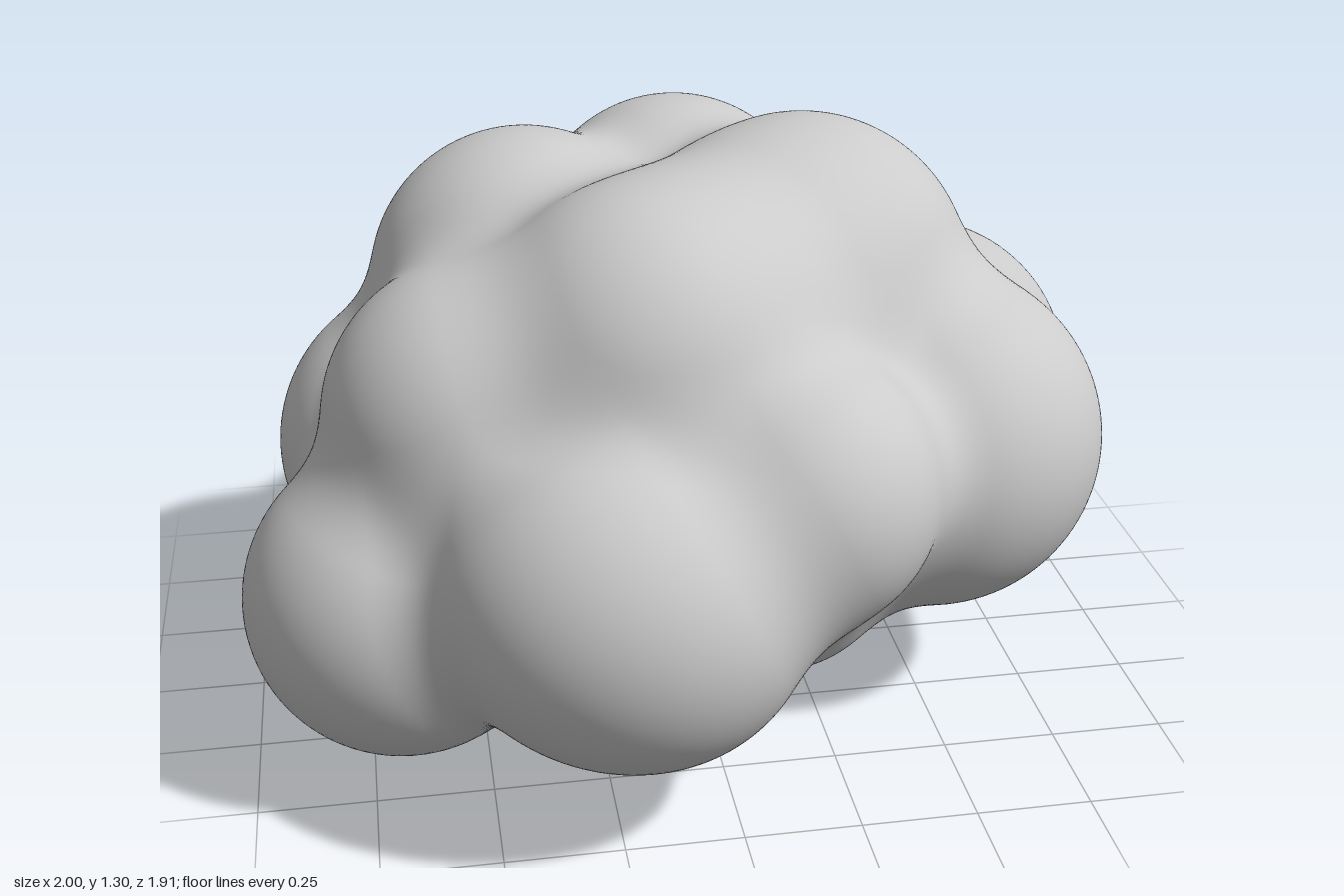
import * as THREE from 'three';

// Puffs of the cloud: x, y, z, radius
const puffs = [
  [0.04, 0.57, 0.0, 0.42],    // core
  [0.10, 0.43, -0.25, 0.32],  // lower core
  [0.14, 0.44, 0.29, 0.29],   // lower front fill
  [-0.66, 0.40, 0.33, 0.34],  // low front, right-hand end
  [-0.28, 0.54, 0.58, 0.34],  // front
  [-0.17, 0.50, 0.61, 0.335],
  [0.14, 0.68, 0.51, 0.305],  // upper front
  [0.52, 0.61, 0.17, 0.385],  // side, forward
  [0.55, 0.57, -0.08, 0.345], // side, middle
  [0.62, 0.53, -0.33, 0.38],  // side, rear
  [0.28, 0.48, -0.56, 0.39],  // back
  [-0.22, 0.53, -0.50, 0.355], // back
  [-0.55, 0.52, -0.17, 0.37], // opposite side
  [-0.47, 0.77, 0.25, 0.34],  // shoulder
  [0.26, 0.92, -0.01, 0.38],  // crown
  [0.07, 0.90, 0.13, 0.355],
  [-0.12, 0.90, 0.28, 0.37],
  [-0.34, 0.90, -0.17, 0.35],
  [0.04, 0.88, -0.43, 0.35],
  [-0.07, 0.26, 0.19, 0.26],  // underside
  [-0.42, 0.31, -0.10, 0.27],
  [-0.07, 0.30, -0.46, 0.24],
].map(([x, y, z, r]) => ({ c: new THREE.Vector3(x, y, z), r }));

// Distance to the puffs, softly blended where they meet
const BLEND = 0.115;
function cloudDistance(p) {
  let d = Infinity;
  for (const { c, r } of puffs) {
    const s = p.distanceTo(c) - r;
    if (d === Infinity) { d = s; continue; }
    const h = Math.max(BLEND - Math.abs(d - s), 0) / BLEND;
    d = Math.min(d, s) - h * h * BLEND * 0.25;
  }
  return d;
}

// Surface normal from the slope of the distance
function cloudNormal(p) {
  const e = 0.012, q = new THREE.Vector3(), n = new THREE.Vector3();
  for (const axis of ['x', 'y', 'z']) {
    q.copy(p);
    q[axis] += e;
    const a = cloudDistance(q);
    q[axis] -= 2 * e;
    n[axis] = a - cloudDistance(q);
  }
  return n.normalize();
}

export function createModel() {
  const group = new THREE.Group();
  group.name = 'cloud';

  // Shrink-wrap a fine sphere onto the blended puffs
  const geometry = new THREE.IcosahedronGeometry(1, 56);
  const pos = geometry.attributes.position, nor = geometry.attributes.normal;
  const centre = new THREE.Vector3(0, 0.57, 0);
  const dir = new THREE.Vector3(), p = new THREE.Vector3();
  for (let i = 0; i < pos.count; i++) {
    dir.fromBufferAttribute(pos, i).normalize();
    let t = 1.5;
    for (let step = 0; step < 60; step++) {
      p.copy(centre).addScaledVector(dir, t);
      const d = cloudDistance(p);
      t -= d;
      if (d < 0.0005) break;
    }
    p.copy(centre).addScaledVector(dir, t);
    const n = cloudNormal(p);
    pos.setXYZ(i, p.x, p.y, p.z);
    nor.setXYZ(i, n.x, n.y, n.z);
  }

  // Stand on the ground, centred
  geometry.computeBoundingBox();
  const { min, max } = geometry.boundingBox;
  geometry.translate(-(min.x + max.x) / 2, -min.y, -(min.z + max.z) / 2);

  const mesh = new THREE.Mesh(geometry, new THREE.MeshStandardMaterial({ color: 0xcccccc }));
  mesh.name = 'cloudBody';
  group.add(mesh);
  return group;
}
